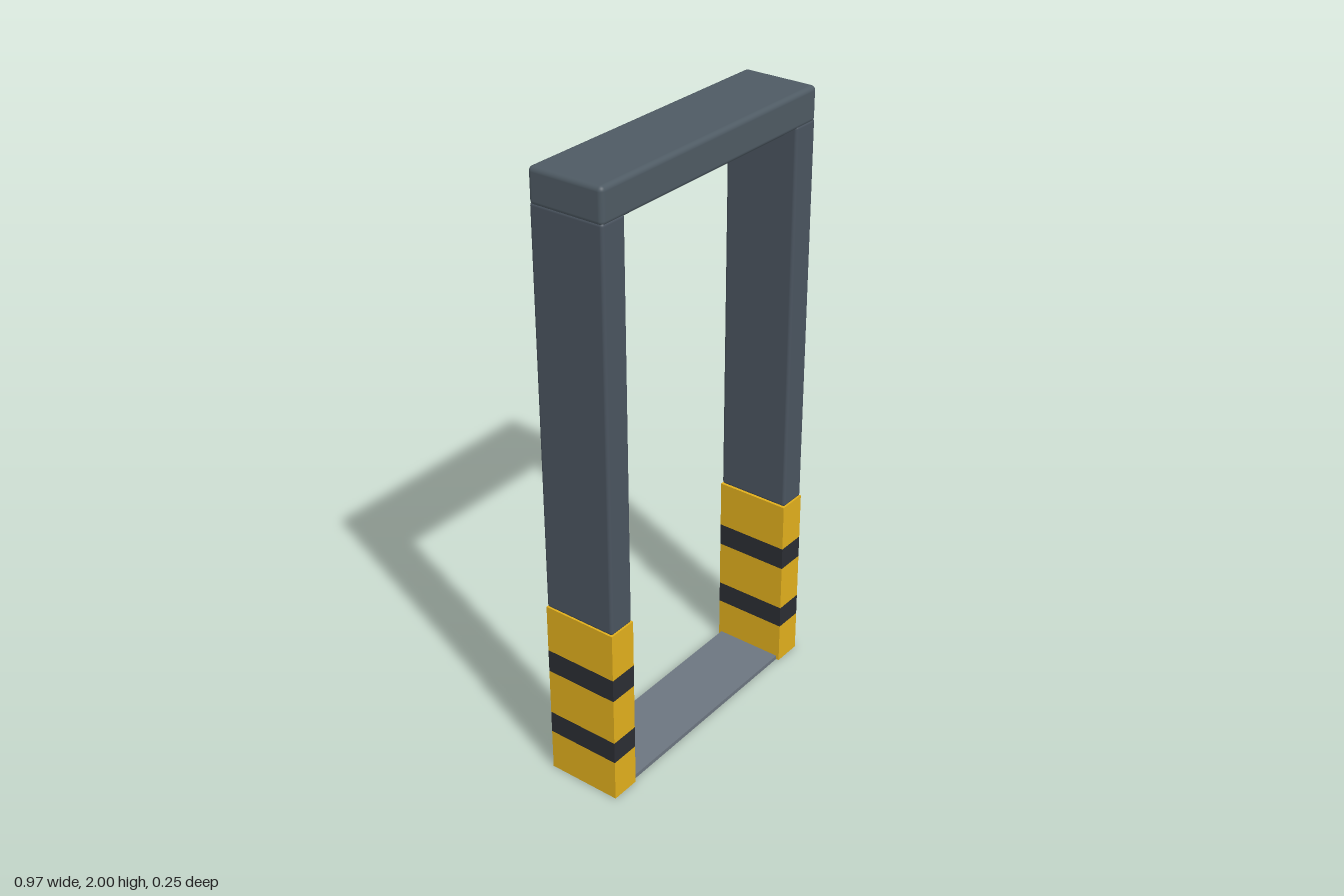
import * as THREE from 'three';
import { RoundedBoxGeometry } from 'three/addons/geometries/RoundedBoxGeometry.js';

const mat = (color, side = THREE.FrontSide) => new THREE.MeshStandardMaterial({ color, side });

function add(parent, name, geometry, material, x, y, z = 0) {
  const mesh = new THREE.Mesh(geometry, material);
  mesh.name = name;
  mesh.position.set(x, y, z);
  parent.add(mesh);
  return mesh;
}

// Four upright walls without top or bottom
function openBox(w, h, d) {
  const geometry = new THREE.BoxGeometry(w, h, d).toNonIndexed();
  const walls = new THREE.BufferGeometry();
  const keep = [0, 1, 4, 5]; // +x, -x, +z, -z
  for (const [key, size] of [['position', 3], ['normal', 3]]) {
    const src = geometry.attributes[key].array;
    const out = keep.flatMap((f) => [...src.slice(f * 18, f * 18 + 18)]);
    walls.setAttribute(key, new THREE.Float32BufferAttribute(out, size));
  }
  return walls;
}

export function createModel() {
  const model = new THREE.Group();
  model.name = 'gateFrame';
  const postMat = mat(0x4a545f);
  const beamMat = mat(0x4e5a63);
  const plateMat = mat(0x6c7580);
  const yellow = mat(0xe0ae1c, THREE.DoubleSide);
  const black = mat(0x2b2d33, THREE.DoubleSide);

  const halfWidth = 0.486, depth = 0.25, sleeveWidth = 0.098, sleeveTop = 0.61;
  const levels = [0, 0.14, 0.215, 0.373, 0.45, sleeveTop];

  // Top beam
  add(model, 'topBeam', new RoundedBoxGeometry(halfWidth * 2, 0.11, depth, 4, 0.015), beamMat, 0, 1.945);

  // Floor plate between the posts
  add(model, 'floorPlate', new THREE.BoxGeometry(0.78, 0.014, 0.23), plateMat, 0, 0.007);

  for (const [side, s] of [['left', 1], ['right', -1]]) {
    // Upright post
    add(model, side + 'Post', new RoundedBoxGeometry(0.094, 1.29, 0.248, 3, 0.01), postMat, s * 0.438, 1.255);

    // Striped guard sleeve, open at the bottom
    const sleeve = new THREE.Group();
    sleeve.name = side + 'GuardSleeve';
    sleeve.position.x = s * (halfWidth - sleeveWidth / 2);
    model.add(sleeve);
    for (let i = 0; i < levels.length - 1; i++) {
      const h = levels[i + 1] - levels[i];
      add(sleeve, i % 2 ? 'darkStripe' : 'yellowBand', openBox(sleeveWidth, h, depth),
        i % 2 ? black : yellow, 0, levels[i] + h / 2);
    }
    const cap = new THREE.PlaneGeometry(sleeveWidth, depth).rotateX(-Math.PI / 2);
    add(sleeve, 'sleeveCap', cap, yellow, 0, sleeveTop);
  }
  return model;
}
